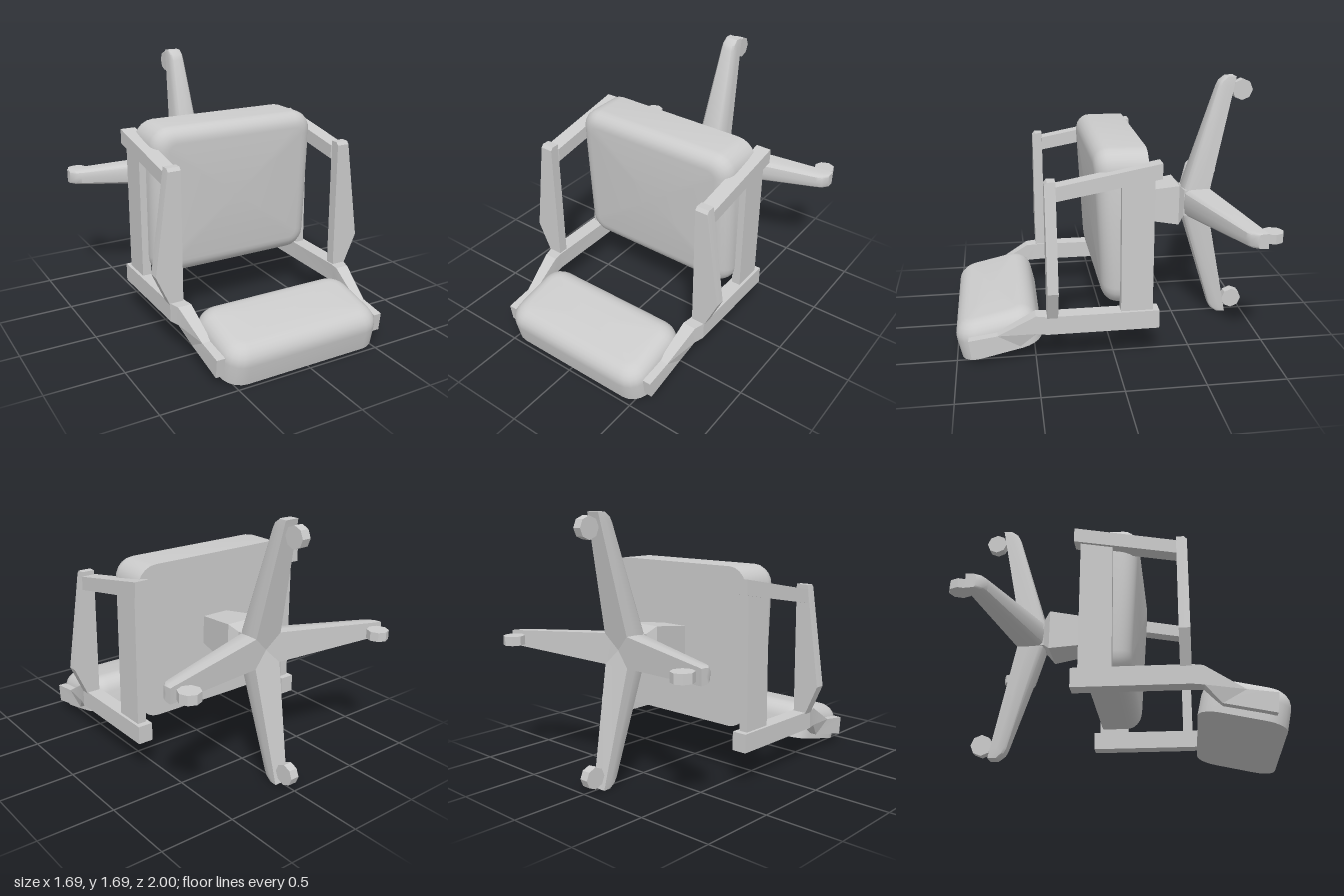
import * as THREE from 'three';
import { toCreasedNormals } from 'three/addons/utils/BufferGeometryUtils.js';

const material = new THREE.MeshStandardMaterial({ color: 0xcccccc });

// Solid skin through equal-length rings of [x, y, z], capped at both ends
function loft(rings, crease = 0.6) {
  const tris = [];
  const n = rings[0].length;
  for (let i = 0; i < rings.length - 1; i++) {
    for (let j = 0; j < n; j++) {
      const k = (j + 1) % n, a = rings[i], b = rings[i + 1];
      tris.push([a[j], a[k], b[k]], [a[j], b[k], b[j]]);
    }
  }
  const cap = (ring, flip) => {
    const c = [0, 1, 2].map((d) => ring.reduce((s, p) => s + p[d], 0) / n);
    ring.forEach((p, j) => {
      const q = ring[(j + 1) % n];
      tris.push(flip ? [c, q, p] : [c, p, q]);
    });
  };
  cap(rings[0], true);
  cap(rings[rings.length - 1], false);

  // Turn the faces outward whichever way the rings run
  let volume = 0;
  for (const t of tris) {
    const [a, b, c] = t.map((p) => new THREE.Vector3(...p));
    volume += a.dot(b.cross(c));
  }
  if (volume < 0) tris.forEach((t) => t.reverse());
  const g = new THREE.BufferGeometry();
  g.setAttribute('position', new THREE.Float32BufferAttribute(tris.flat(2), 3));
  return toCreasedNormals(g, crease);
}

function add(parent, name, geometry) {
  const mesh = new THREE.Mesh(geometry, material);
  mesh.name = name;
  parent.add(mesh);
  return mesh;
}

// Rounded rectangle ring; depth(y) gives z
function roundedRing(w, h, r, depth) {
  const pts = [];
  const steps = 5;
  [[1, 1], [-1, 1], [-1, -1], [1, -1]].forEach(([sx, sy], q) => {
    for (let i = 0; i <= steps; i++) {
      const a = (q + i / steps) * Math.PI / 2;
      const x = sx * (w / 2 - r) + r * Math.cos(a);
      const y = sy * (h / 2 - r) + r * Math.sin(a);
      pts.push([x, y, depth(y)]);
    }
  });
  return pts;
}

// Cushion with a flat back at z = 0 and a softly rounded front edge
function cushion(w, h, depth, slope, bevel, corner) {
  const front = (y) => depth + slope * y;
  const rings = [roundedRing(w, h, corner, () => 0)];
  for (let i = 0; i <= 6; i++) {
    const a = (i / 6) * Math.PI / 2;
    const inset = bevel * (1 - Math.cos(a));
    const drop = bevel * (1 - Math.sin(a));
    rings.push(roundedRing(w - 2 * inset, h - 2 * inset, corner - inset * 0.75, (y) => front(y) - drop));
  }
  return loft(rings, 0.75);
}

// Rectangular ring across x and y
const rectXY = (x0, x1, y0, y1, z0, z1 = z0) =>
  [[x0, y0, z0], [x1, y0, z0], [x1, y1, z1], [x0, y1, z1]];

export function createModel() {
  const model = new THREE.Group();
  model.name = 'officeChair';

  // Cushions
  const seat = add(model, 'seatCushion', cushion(1.19, 1.01, 0.3, 0.06, 0.1, 0.13));
  seat.position.set(0, 0.855, -0.2);

  const back = add(model, 'backrestCushion', cushion(1.1, 0.528, 0.238, 0, 0.11, 0.13));
  back.position.set(0, 0.063, 0.713);
  back.rotation.x = -Math.PI / 2 + 0.22;

  // Side frames with armrests
  for (const s of [1, -1]) {
    const side = new THREE.Group();
    side.name = s > 0 ? 'leftFrame' : 'rightFrame';
    model.add(side);
    const mirror = (rings) => rings.map((r) => r.map(([x, y, z]) => [s * x, y, z]));

    // Rail along the seat that bends up the side of the backrest
    add(side, 'backRail', loft(mirror([
      rectXY(0.56, 0.66, 0.23, 0.35, -0.27),
      rectXY(0.56, 0.66, 0.23, 0.35, 0.43),
      rectXY(0.55, 0.64, 0.23, 0.35, 0.5),
      rectXY(0.54, 0.6, 0.13, 0.21, 0.6, 0.74),
      rectXY(0.545, 0.6, 0.065, 0.185, 0.905, 0.92),
    ]), 0.2));

    add(side, 'frontRail', loft(mirror([
      rectXY(0.56, 0.66, 1.205, 1.3, -0.27),
      rectXY(0.56, 0.66, 1.09, 1.18, 0.37),
    ]), 0.2));

    add(side, 'seatSidePlate', loft(mirror([
      rectXY(0.58, 0.64, 0.34, 1.23, -0.23),
      rectXY(0.58, 0.64, 0.34, 1.17, -0.03),
    ]), 0.2));

    // Armrest pad, widest near the backrest
    const pad = (z, top) => [[0.57, 0.34, z], [0.66, 0.34, z], [0.75, 0.54, z],
      [0.655, top, z], [0.57, top, z]];
    add(side, 'armrestPad', loft(mirror([
      pad(0.365, 1.21), pad(0.415, 1.21), pad(0.432, 1.19),
    ]), 0.2));
  }

  // Pedestal column
  const square = (r, z) => rectXY(-r, r, 0.853 - r, 0.853 + r, z);
  add(model, 'pedestal', loft([
    square(0.093, -0.19), square(0.136, -0.5), square(0.09, -0.545), square(0.09, -0.6),
  ], 0.2));

  // Four-legged star base with casters
  const base = new THREE.Group();
  base.name = 'starBase';
  base.position.y = 0.85;
  model.add(base);

  // Leg cross-section: flat behind, rounded in front
  const legRing = ([r, w, zBack, zFront]) => {
    const mid = zBack + (zFront - zBack) * 0.4;
    const pts = [[w, r, zBack]];
    for (let i = 0; i <= 6; i++) {
      const a = (i / 6) * Math.PI;
      const x = Math.sign(Math.cos(a)) * Math.sqrt(Math.abs(Math.cos(a))) * w;
      pts.push([Math.abs(x) < 1e-4 ? 0 : x, r, mid + (zFront - mid) * Math.sqrt(Math.max(0, Math.sin(a)))]);
    }
    pts.push([-w, r, zBack]);
    return pts;
  };
  const legStations = [
    [0, 0.1, -0.7, -0.54],
    [0.1, 0.098, -0.72, -0.545],
    [0.78, 0.052, -0.866, -0.758],
    [0.815, 0.05, -0.873, -0.775],
    [0.845, 0.047, -0.88, -0.815],
  ];
  for (let i = 0; i < 4; i++) {
    const arm = new THREE.Group();
    arm.name = 'baseArm' + (i + 1);
    arm.rotation.z = i * Math.PI / 2;
    base.add(arm);
    add(arm, 'leg', loft(legStations.map(legRing), 0.7));
    const wheel = add(arm, 'caster', toCreasedNormals(new THREE.CylinderGeometry(0.07, 0.07, 0.06, 8), 0.3));
    wheel.rotation.z = Math.PI / 2;
    wheel.position.set(0, 0.755, -0.93);
  }

  return model;
}
